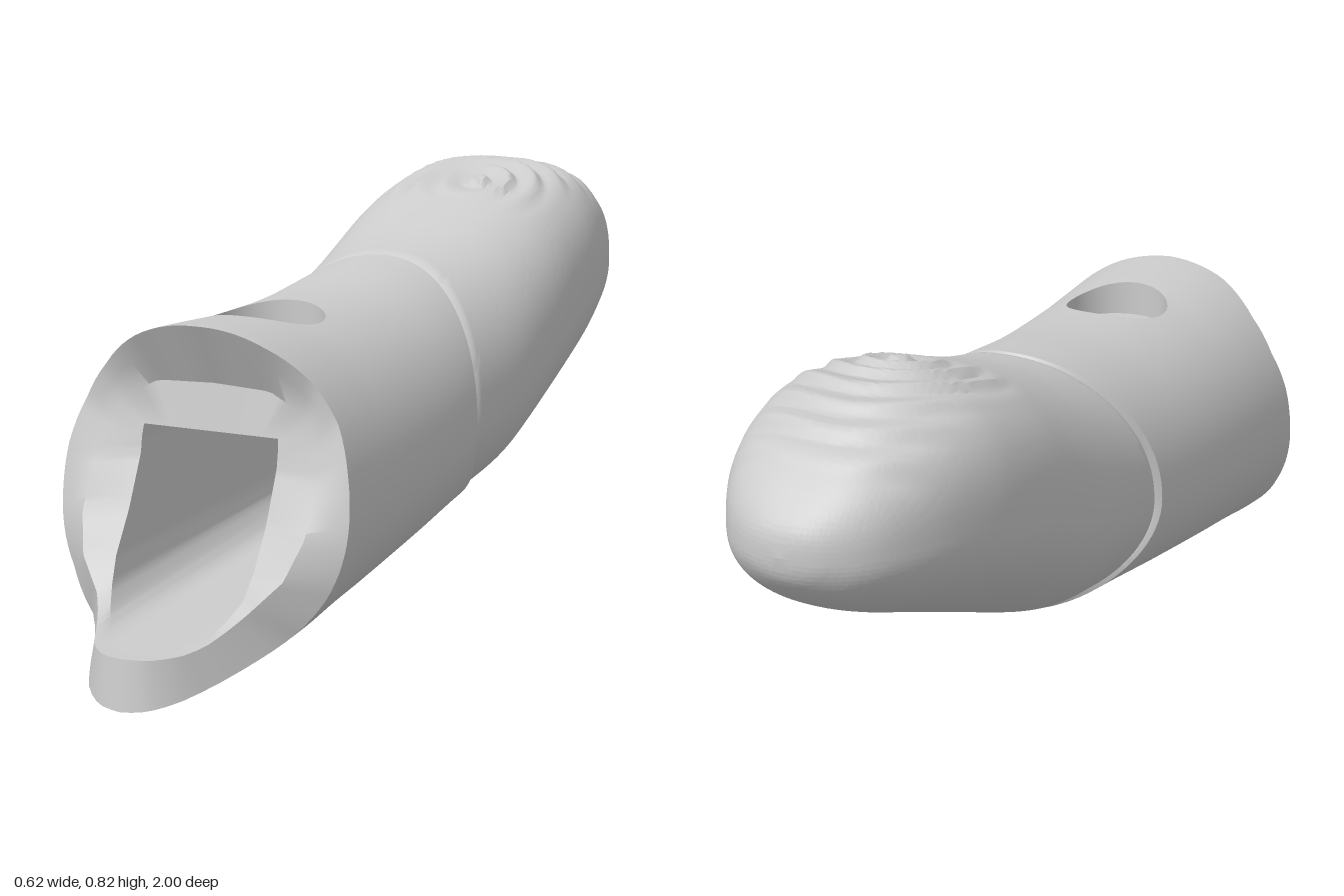
import * as THREE from 'three';
import { toCreasedNormals } from 'three/addons/utils/BufferGeometryUtils.js';

const N = 96; // points around the sleeve
const TIP_N = 168; // points around the fingertip
const { lerp, smoothstep, clamp, radToDeg } = THREE.MathUtils;

// Interpolate rows of [key, ...values]; keys may rise or fall.
function sample(rows, key, smooth = true) {
  const dir = Math.sign(rows[1][0] - rows[0][0]);
  let k = 0;
  while (k < rows.length - 2 && (key - rows[k + 1][0]) * dir > 0) k++;
  const a = rows[k], b = rows[k + 1];
  const p = rows[Math.max(k - 1, 0)], q = rows[Math.min(k + 2, rows.length - 1)];
  const span = b[0] - a[0];
  const t = clamp((key - a[0]) / span, 0, 1);
  return a.slice(1).map((va, n) => {
    const c = n + 1, vb = b[c];
    if (!smooth) return lerp(va, vb, t);
    const m0 = (vb - p[c]) / (b[0] - p[0]) * span, m1 = (q[c] - va) / (q[0] - a[0]) * span;
    const t2 = t * t, t3 = t2 * t;
    return (2 * t3 - 3 * t2 + 1) * va + (t3 - 2 * t2 + t) * m0 + (3 * t2 - 2 * t3) * vb + (t3 - t2) * m1;
  });
}

// Skin closed rings of [x, y, z] points, optionally leaving cells out.
function loft(rings, skip = () => false) {
  const n = rings[0].length, index = [];
  for (let j = 0; j < rings.length - 1; j++) {
    for (let i = 0; i < n; i++) {
      if (skip(i, j)) continue;
      const i2 = (i + 1) % n, a = j * n + i, b = j * n + i2, c = a + n, d = b + n;
      index.push(a, b, c, b, d, c);
    }
  }
  const geo = new THREE.BufferGeometry();
  geo.setAttribute('position', new THREE.Float32BufferAttribute(rings.flat(2), 3));
  geo.setIndex(index);
  return toCreasedNormals(geo, 0.6);
}

const ring = (fn, n = N) => Array.from({ length: n }, (_, i) => fn((i / n) * Math.PI * 2, i));

// Sections: z, top y, bottom y, half width
const SLEEVE = [
  [1, 0.67, 0.003, 0.31], [0.7, 0.665, 0.033, 0.31], [0.58, 0.658, 0.05, 0.305],
  [0.45, 0.65, 0.066, 0.3], [0.2, 0.652, 0.097, 0.288], [0, 0.672, 0.122, 0.277], [-0.16, 0.69, 0.141, 0.272],
];
const TIP = [
  [0.08, 0.655, 0.12, 0.272], [-0.08, 0.68, 0.145, 0.275], [-0.2, 0.705, 0.165, 0.28],
  [-0.3, 0.735, 0.2, 0.28], [-0.45, 0.783, 0.262, 0.278], [-0.6, 0.812, 0.322, 0.268],
  [-0.7, 0.807, 0.362, 0.25], [-0.8, 0.78, 0.402, 0.222], [-0.88, 0.74, 0.44, 0.185],
  [-0.94, 0.69, 0.478, 0.14], [-0.98, 0.645, 0.52, 0.085], [-0.995, 0.615, 0.548, 0.043], [-1, 0.58, 0.58, 0],
];
// Open end: degrees from the top, outer edge z, rim crest x y z, socket mouth x y z
const RIM = [
  [0, 0.71, 0, 0.545, 0.64, 0, 0.455, 0.655],
  [25, 0.695, 0.12, 0.54, 0.64, 0.08, 0.455, 0.655],
  [45, 0.66, 0.2, 0.5, 0.645, 0.145, 0.455, 0.655],
  [60, 0.655, 0.225, 0.45, 0.66, 0.147, 0.43, 0.66],
  [75, 0.675, 0.24, 0.39, 0.68, 0.147, 0.4, 0.665],
  [100, 0.695, 0.24, 0.29, 0.73, 0.148, 0.3, 0.71],
  [120, 0.712, 0.215, 0.215, 0.77, 0.148, 0.22, 0.76],
  [140, 0.752, 0.16, 0.155, 0.81, 0.14, 0.17, 0.79],
  [148, 0.81, 0.135, 0.128, 0.85, 0.12, 0.135, 0.83],
  [155, 0.885, 0.115, 0.11, 0.89, 0.1, 0.11, 0.86],
  [161, 0.94, 0.095, 0.103, 0.93, 0.08, 0.102, 0.9],
  [167, 0.975, 0.065, 0.1, 0.965, 0.052, 0.1, 0.93],
  [173, 0.993, 0.035, 0.1, 0.983, 0.027, 0.1, 0.945],
  [180, 1, 0, 0.1, 0.988, 0, 0.1, 0.95],
];
const SLEEVE_POWER = 2.12, WIDEST = 0.45; // squareness, and height of the widest line

// Rounded-square cross-section point at angle a from the top
function section(table, z, a, power = SLEEVE_POWER, scale = 1) {
  const [top, bottom, w] = sample(table, z);
  const s = Math.sin(a), c = Math.cos(a);
  const p = c > 0 ? power : SLEEVE_POWER;
  const k = scale * (Math.abs(s) ** p + Math.abs(c) ** p) ** (-1 / p);
  const mid = lerp(bottom, top, WIDEST);
  return [w * s * k, mid + (c > 0 ? top - mid : mid - bottom) * c * k, z];
}

function topOfSleeve(x, z) {
  const [top, bottom, w] = sample(SLEEVE, z);
  const mid = lerp(bottom, top, WIDEST);
  return mid + (top - mid) * (1 - Math.abs(x / w) ** SLEEVE_POWER) ** (1 / SLEEVE_POWER);
}

// Curved seam between sleeve and fingertip
const seam = (a) => 0.05 - (Math.cos(a) > 0 ? 0.13 : 0.19) * Math.cos(a) ** 2;

function rimAt(a) {
  const side = Math.sin(a) < 0 ? -1 : 1;
  const deg = radToDeg(Math.acos(clamp(Math.cos(a), -1, 1)));
  const [z, mx, my, mz, hx, hy, hz] = sample(RIM, deg, false);
  return { z, crest: [side * mx, my, mz], mouth: [side * hx, hy, hz] };
}

const BORE = { z: 0.42, r: 0.11, cells: 5, blend: 10 };

function sleeveGeometry() {
  const rows = 36, centreRow = 13;
  const mouth = ring((a) => rimAt(a).mouth);
  const back = mouth.map(([x, y]) => [x * 0.96, 0.15 + (y - 0.1) * 0.74, 0.1]);
  const rings = [ring(() => [0, 0.28, 0.1]), back, mouth];
  // rim from the socket mouth over the crest to the outer edge
  rings.push(ring((a) => rimAt(a).crest));
  rings.push(ring((a) => {
    const r = rimAt(a), edge = section(SLEEVE, r.z, a);
    return edge.map((v, k) => lerp(r.crest[k], v, 0.55));
  }));
  const first = rings.length;
  // outer skin, its grid eased into a circle around the screw bore
  for (let j = 0; j <= rows; j++) {
    rings.push(ring((a, i) => {
      const p = section(SLEEVE, lerp(rimAt(a).z, seam(a), j / rows), a);
      const di = i > N / 2 ? i - N : i, dj = j - centreRow;
      const m = Math.max(Math.abs(di), Math.abs(dj));
      if (m >= BORE.blend || m === 0) return p;
      const t = Math.max(0, (m - BORE.cells) / (BORE.blend - BORE.cells));
      const r = BORE.r * m / BORE.cells / Math.hypot(di, dj);
      const x = lerp(r * di, p[0], t), z = lerp(BORE.z - r * dj, p[2], t);
      return [x, topOfSleeve(x, z), z];
    }));
  }
  // groove wall and closing face
  rings.push(ring((a) => section(SLEEVE, seam(a) - 0.015, a, SLEEVE_POWER, 0.93)));
  rings.push(ring(() => [0, 0.4, 0]));
  const inBore = (i, j) => {
    const di = (i >= N / 2 ? i - N : i) + 0.5, dj = j - first - centreRow + 0.5;
    return Math.abs(di) < BORE.cells && Math.abs(dj) < BORE.cells;
  };
  return loft(rings, inBore);
}

// Stepped screw recess
function boreGeometry() {
  const circle = (r, y) => ring((a) => {
    const x = r * Math.sin(a), z = BORE.z + r * Math.cos(a);
    return [x, y ?? topOfSleeve(x, z), z];
  }, 64);
  return loft([circle(BORE.r), circle(BORE.r, 0.58), circle(0.055, 0.58), circle(0.055, 0.52), circle(0, 0.52)]);
}

// Raised fingerprint arcs on the pad
function ridge(x, z) {
  const r = Math.hypot((x - 0.04) * 1.2, z + 0.48) + 0.012 * Math.sin(x * 14);
  const mask = smoothstep(z, -0.92, -0.84) * (1 - smoothstep(z, -0.48, -0.36)) * (1 - smoothstep(Math.abs(x), 0.13, 0.22));
  const phase = r * 2 * Math.PI / 0.066;
  return 0.007 * mask * Math.sin(phase - 0.5 * Math.sin(phase));
}

function tipGeometry() {
  const rows = 130;
  const tipRing = (fn) => ring(fn, TIP_N);
  const rings = [
    tipRing(() => [0, 0.4, 0.02]),
    tipRing((a) => section(TIP, seam(a) + 0.012, a, SLEEVE_POWER, 0.92)),
    tipRing((a) => section(TIP, seam(a) - 0.006, a, SLEEVE_POWER, 0.965)),
  ];
  for (let j = 0; j <= rows; j++) {
    const s = Math.sin((j / rows) * Math.PI / 2);
    rings.push(tipRing((a) => {
      const z = lerp(seam(a) - 0.025, -1, s);
      const p = section(TIP, z, a, lerp(SLEEVE_POWER, 2.7, smoothstep(-z, 0, 0.5)));
      if (Math.cos(a) > 0) p[1] += ridge(p[0], z);
      return p;
    }));
  }
  return loft(rings);
}

export function createModel() {
  const group = new THREE.Group();
  group.name = 'fingertipProsthesis';
  const material = new THREE.MeshStandardMaterial({ color: 0xcccccc });
  const parts = { socketSleeve: sleeveGeometry(), screwRecess: boreGeometry(), fingertip: tipGeometry() };
  for (const [name, geometry] of Object.entries(parts)) {
    const mesh = new THREE.Mesh(geometry, material);
    mesh.name = name;
    group.add(mesh);
  }
  return group;
}
